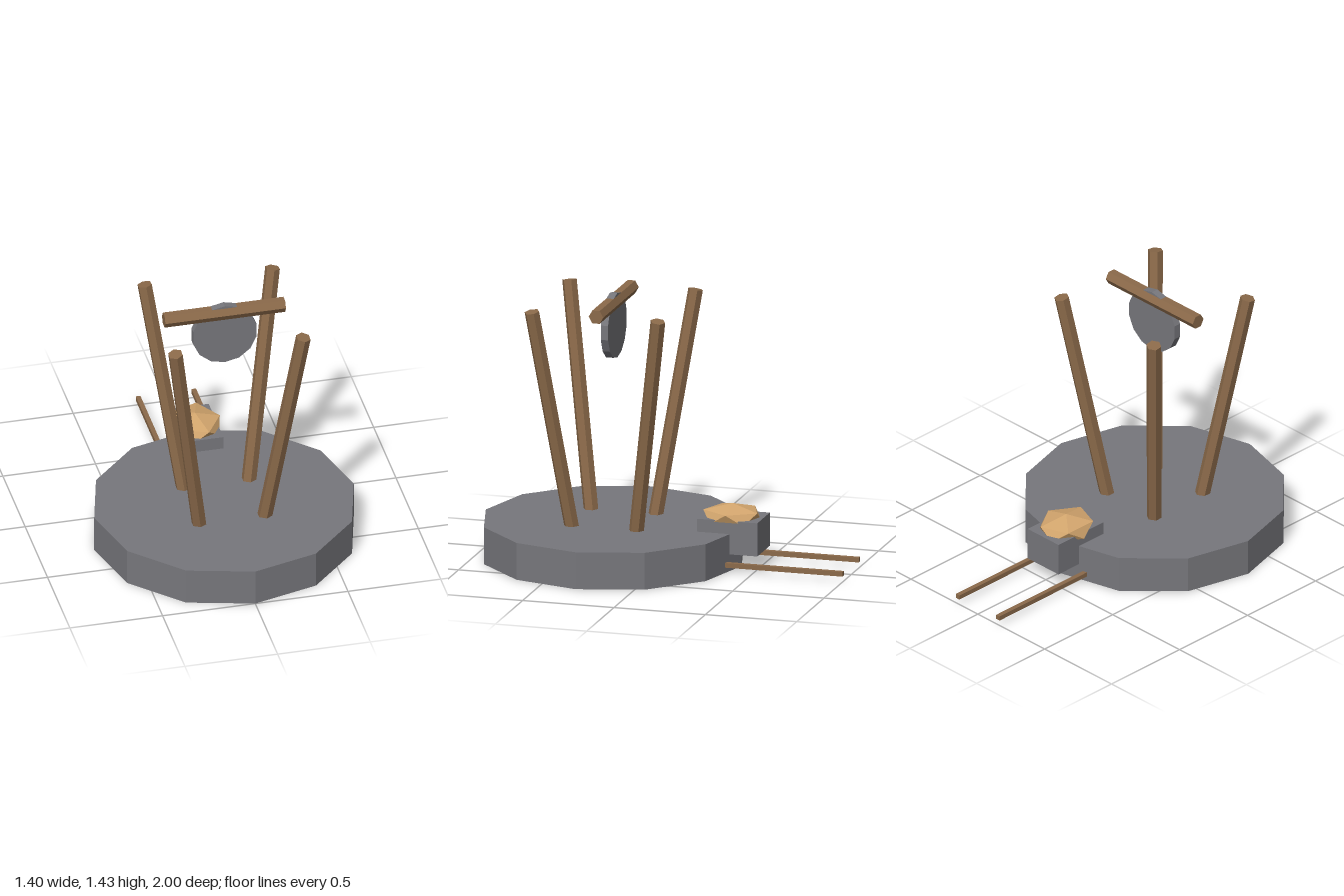
import * as THREE from 'three';
import { ConvexGeometry } from 'three/addons/geometries/ConvexGeometry.js';

export function createModel() {
  const model = new THREE.Group();
  const material = (name, color) => {
    const m = new THREE.MeshStandardMaterial({ color, flatShading: true });
    m.name = name;
    return m;
  };
  const stone = material('grey stone', 0x77777c);
  const wood = material('brown wood', 0x8b6a4a);
  const straw = material('tan straw', 0xd2a56d);

  const add = (name, geometry, mat, x, y, z) => {
    const mesh = new THREE.Mesh(geometry, mat);
    mesh.name = name;
    mesh.position.set(x, y, z);
    model.add(mesh);
    return mesh;
  };
  const midZ = 0.3;

  // Twelve-sided platform
  add('base', new THREE.CylinderGeometry(0.7, 0.7, 0.2, 12), stone, 0, 0.1, midZ);

  // Four posts splaying outwards, feet sunk into the base
  const up = new THREE.Vector3(0, 1, 0);
  for (const sx of [-1, 1]) {
    for (const sz of [-1, 1]) {
      const foot = new THREE.Vector3(sx * 0.171, 0.15, midZ + sz * 0.171);
      const head = new THREE.Vector3(sx * 0.345, 1.388, midZ + sz * 0.345);
      const axis = head.clone().sub(foot);
      const c = foot.clone().add(head).multiplyScalar(0.5);
      const post = add('post', new THREE.CylinderGeometry(0.04, 0.04, axis.length(), 6), wood, c.x, c.y, c.z);
      post.quaternion.setFromUnitVectors(up, axis.normalize());
    }
  }

  // Crossbar with a hanging disc
  add('crossbar', new THREE.CylinderGeometry(0.04, 0.04, 0.65, 6), wood, 0, 1.38, midZ).rotation.z = Math.PI / 2;
  add('disc', new THREE.CylinderGeometry(0.175, 0.175, 0.04, 14), stone, 0, 1.255, midZ).rotation.x = Math.PI / 2;

  // Cart body and its two long shafts
  add('cartBody', new THREE.BoxGeometry(0.23, 0.18, 0.33), stone, 0, 0.18, -0.355);
  for (const sx of [-1, 1]) {
    add('shaft', new THREE.BoxGeometry(0.025, 0.025, 0.8), wood, sx * 0.15, 0.042, -0.6);
  }

  // Faceted heap: a flattened icosahedron standing on a corner
  const points = [new THREE.Vector3(0, 0.065, 0), new THREE.Vector3(0, -0.065, 0)];
  for (let i = 0; i < 5; i++) {
    const a = (i * Math.PI * 2) / 5;
    const x = 0.134 * Math.cos(a), z = 0.155 * Math.sin(a);
    points.push(new THREE.Vector3(x, 0.029, z), new THREE.Vector3(-x, -0.029, -z));
  }
  add('heap', new ConvexGeometry(points), straw, 0, 0.274, -0.35);

  return model;
}
